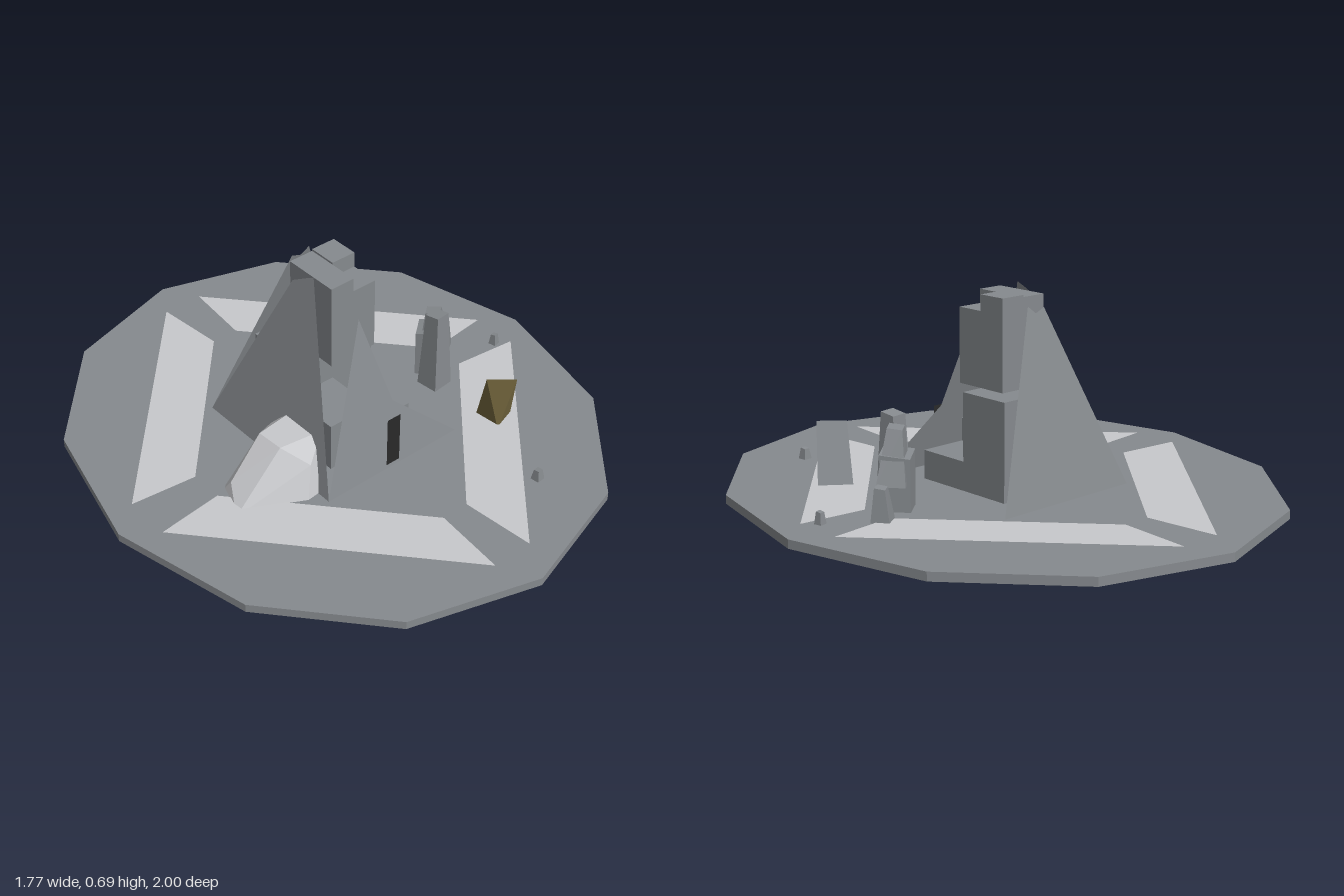
import * as THREE from 'three';
import { ConvexGeometry } from 'three/addons/geometries/ConvexGeometry.js';

const GROUND = 0.03;

export function createModel() {
  const model = new THREE.Group();
  model.name = 'ruinedPyramid';

  const material = (name, color, side = THREE.FrontSide) =>
    Object.assign(new THREE.MeshStandardMaterial({ color, side }), { name });
  const stone = material('stone', 0x868a8e, THREE.DoubleSide);
  const pale = material('paleStone', 0xc8c9cc, THREE.DoubleSide);
  const dark = material('doorway', 0x2a2a2a, THREE.DoubleSide);
  const earth = material('earth', 0x776a40, THREE.DoubleSide);

  const add = (name, geometry, mat, parent = model) => {
    const mesh = new THREE.Mesh(geometry, mat);
    mesh.name = name;
    parent.add(mesh);
    return mesh;
  };
  const flat = (geometry) => {
    const g = geometry.index ? geometry.toNonIndexed() : geometry;
    g.computeVertexNormals();
    return g;
  };
  const shape = (points) =>
    new THREE.ShapeGeometry(new THREE.Shape(points.map(([x, y]) => new THREE.Vector2(x, y))));
  const vectors = (points) => points.map((p) => new THREE.Vector3(...p));
  const faces = (triangles) => flat(new THREE.BufferGeometry().setFromPoints(vectors(triangles.flat())));

  // Twelve-sided base, narrower across x
  const disc = new THREE.CylinderGeometry(1, 1, GROUND, 12);
  disc.scale(0.885, 1, 1);
  disc.translate(0, GROUND / 2, 0);
  add('base', flat(disc), stone);

  // Four pale paving strips, mirrored into each quadrant
  for (const sx of [-1, 1]) {
    for (const sz of [-1, 1]) {
      const strip = shape([[0.075, 0.87], [0.775, 0.085], [0.54, 0.06], [0.05, 0.61]]
        .map(([x, z]) => [x * sx, z * sz]));
      strip.rotateX(-Math.PI / 2);
      strip.translate(0, GROUND + 0.003, 0);
      add('pavingStrip', strip, pale);
    }
  }

  // Thin broken walls: outlines leaned inwards from the foot, then turned to their side
  const wall = (name, outline, foot, angle) => {
    const g = shape(outline);
    const p = g.attributes.position;
    for (let i = 0; i < p.count; i++) p.setZ(i, foot - (p.getY(i) - GROUND) * 0.255);
    g.rotateY(angle);
    add(name, flat(g), stone);
  };
  wall('frontWall', [[-0.28, GROUND], [0.28, GROUND], [0.04, 0.25], [-0.04, 0.57]], 0.313, 0);
  wall('backWall', [[-0.28, GROUND], [0.28, GROUND], [0.04, 0.64], [0, 0.625], [-0.03, 0.65]], 0.313, Math.PI);
  wall('sideWall', [[-0.313, GROUND], [0.313, GROUND], [0.04, 0.69], [0.01, 0.675], [-0.05, 0.64]], 0.28, -Math.PI / 2);

  // Doorway plate
  const door = new THREE.PlaneGeometry(0.055, 0.19);
  door.translate(-0.003, 0.14, 0.313);
  add('doorway', door, dark);

  // Stepped core: quadrant blocks as [x side, z side, bottom, top]
  const core = new THREE.Group();
  core.name = 'core';
  model.add(core);
  const blocks = (name, w, d, list) => list.forEach(([sx, sz, y0, y1]) => {
    const g = new THREE.BoxGeometry(w, y1 - y0, d);
    g.translate(sx * w / 2, (y0 + y1) / 2, sz * d / 2);
    add(name, g, stone, core);
  });
  blocks('lowerBlock', 0.172, 0.195, [
    [-1, -1, GROUND, 0.365], [1, -1, GROUND, 0.365], [-1, 1, GROUND, 0.21], [1, 1, GROUND, 0.13],
  ]);
  blocks('towerBlock', 0.092, 0.103, [
    [-1, -1, 0.365, 0.67], [1, -1, 0.365, 0.677], [-1, 1, 0.365, 0.67], [1, 1, 0.365, 0.622],
  ]);

  // Pale boulder leaning on the side wall
  add('paleBoulder', new ConvexGeometry(vectors([
    [-0.54, 0.01, 0.16], [-0.5, 0.01, 0.03], [-0.28, 0.01, -0.01], [-0.2, 0.01, 0.1],
    [-0.24, 0.01, 0.26], [-0.33, 0.01, 0.27], [-0.49, 0.07, 0.07], [-0.36, 0.2, 0.06],
    [-0.355, 0.2, 0.16], [-0.2, 0.2, 0.04], [-0.2, 0.2, 0.18], [-0.29, 0.14, 0.235],
    [-0.27, 0.16, 0.005],
  ])), pale);

  // Tilted slab: stone upper face, earthy underside
  const t1 = [0.365, 0.235, 0.365], t2 = [0.443, 0.235, 0.43];
  const b1 = [0.4, 0.01, 0.29], b2 = [0.495, 0.01, 0.362], b3 = [0.41, 0.01, 0.39];
  add('slabFace', faces([[t1, t2, b2], [t1, b2, b1]]), stone);
  add('slabUnderside', faces([[t1, b3, t2], [t1, b1, b3], [t2, b3, b2], [b1, b2, b3]]), earth);

  // Standing and scattered rocks: tapered four-sided stones
  // [x, z, bottom, top, bottom width, top width, turn, lean x, lean z]
  const rocks = [
    [0.405, 0.075, 0.01, 0.325, 0.085, 0.055, 0.1, 0, 0],
    [0.445, 0, 0.01, 0.215, 0.085, 0.1, 0.7, 0, 0.01],
    [0.475, -0.005, 0.12, 0.295, 0.095, 0.05, 0.7, -0.035, 0.025],
    [0.565, -0.06, 0.03, 0.14, 0.062, 0.035, 0.6, 0.005, 0],
    [0.724, 0.05, 0.01, 0.07, 0.032, 0.018, 0.2, 0, 0],
    [0.317, 0.668, 0.01, 0.068, 0.038, 0.02, 0.1, 0, 0],
    [0.065, 0.262, 0.01, 0.075, 0.04, 0.02, 0.3, 0, 0],
  ];
  for (const [x, z, y0, y1, wide, narrow, turn, leanX, leanZ] of rocks) {
    const g = new THREE.CylinderGeometry(narrow * Math.SQRT1_2, wide * Math.SQRT1_2, y1 - y0, 4);
    g.rotateY(Math.PI / 4 + turn);
    const p = g.attributes.position;
    for (let i = 0; i < p.count; i++) {
      if (p.getY(i) > 0) p.setXYZ(i, p.getX(i) + leanX, p.getY(i) + p.getZ(i) * 0.15, p.getZ(i) + leanZ);
    }
    g.translate(x, (y0 + y1) / 2, z);
    add('rock', flat(g), stone);
  }

  return model;
}
